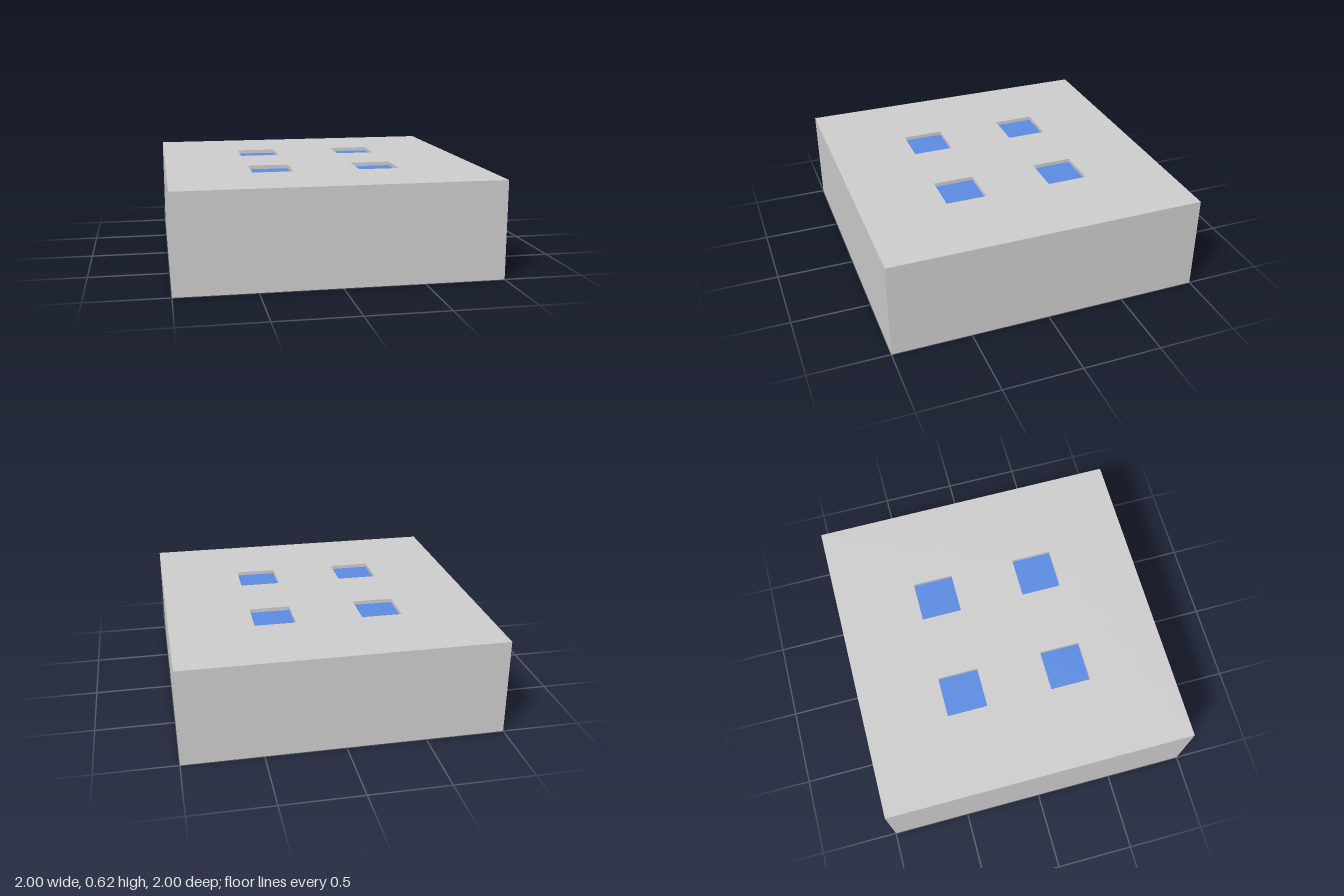
import * as THREE from 'three';

const SIZE = 2, HEIGHT = 0.615;
const RECESS = 0.03;            // thickness of the pierced top layer
const PAD = 0.26, OFFSET = 0.342, PAD_HEIGHT = 0.006;

// Square outline centred on (x, y)
function square(Path, x, y, size) {
  const h = size / 2;
  return new Path([[-h, -h], [h, -h], [h, h], [-h, h]].map(([a, b]) => new THREE.Vector2(x + a, y + b)));
}

export function createModel() {
  const group = new THREE.Group();
  const grey = new THREE.MeshStandardMaterial({ color: 0xcccccc });
  const blue = new THREE.MeshStandardMaterial({ color: 0x5b8ae0 });

  function add(name, geometry, material, x, y, z) {
    const mesh = new THREE.Mesh(geometry, material);
    mesh.name = name;
    mesh.position.set(x, y, z);
    group.add(mesh);
    return mesh;
  }

  // Solid lower block
  const baseTop = HEIGHT - RECESS;
  add('baseBlock', new THREE.BoxGeometry(SIZE, baseTop, SIZE), grey, 0, baseTop / 2, 0);

  // Top layer with four square openings, and a blue pad on the floor of each
  const outline = square(THREE.Shape, 0, 0, SIZE);
  const padGeometry = new THREE.BoxGeometry(PAD, PAD_HEIGHT, PAD);
  for (const x of [-OFFSET, OFFSET]) {
    for (const z of [-OFFSET, OFFSET]) {
      outline.holes.push(square(THREE.Path, x, z, PAD));
      add('recessedPad', padGeometry, blue, x, baseTop + PAD_HEIGHT / 2, z);
    }
  }
  const plate = new THREE.ExtrudeGeometry(outline, { depth: RECESS, bevelEnabled: false });
  plate.rotateX(-Math.PI / 2);
  add('topPlate', plate, grey, 0, baseTop, 0);

  return group;
}
